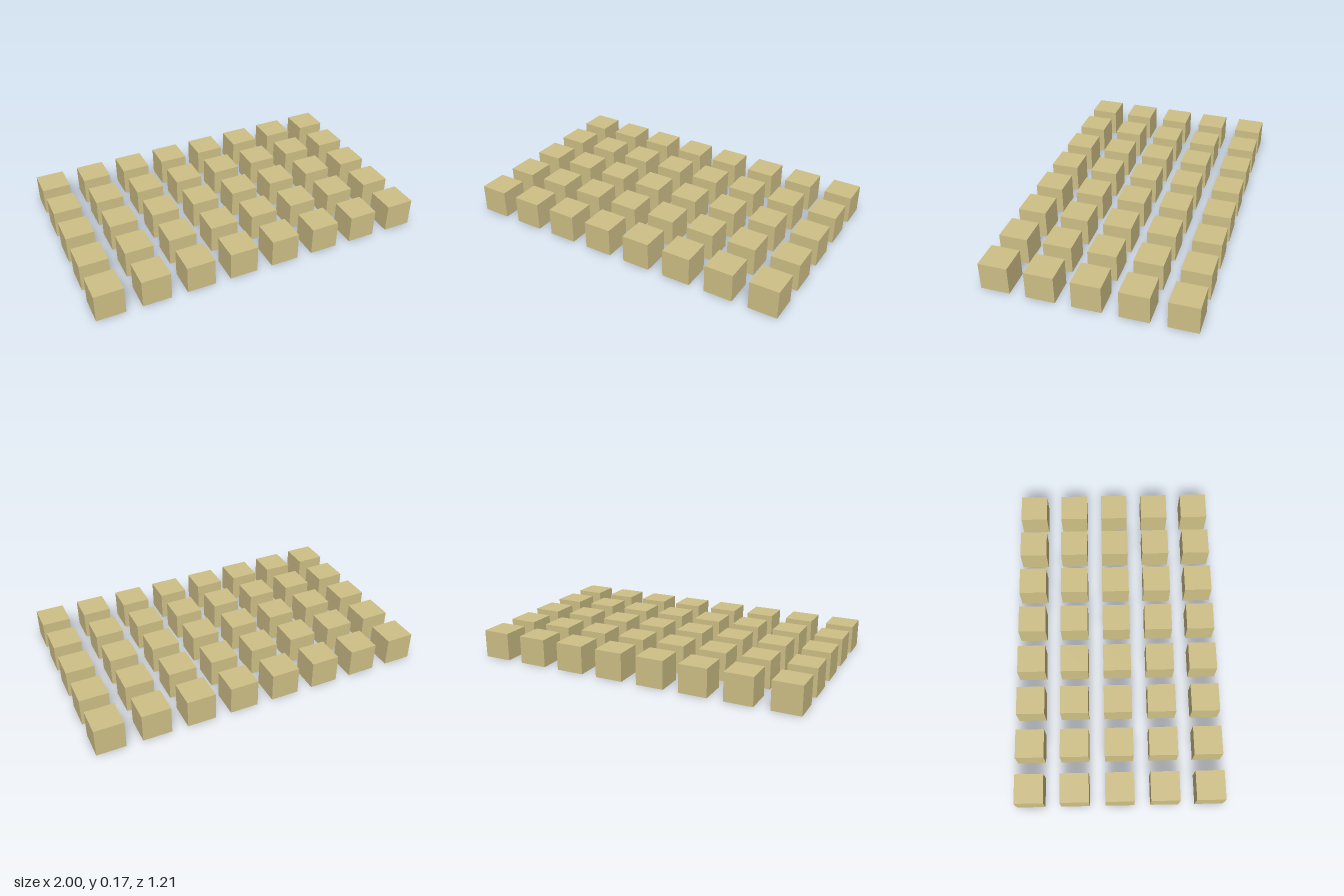
import * as THREE from 'three';

const COLUMNS = 8;
const ROWS = 5;
const SIZE = 0.168;
const PITCH = (2 - SIZE) / (COLUMNS - 1);

export function createModel() {
  const model = new THREE.Group();
  model.name = 'cubeGrid';

  const geometry = new THREE.BoxGeometry(SIZE, SIZE, SIZE);
  const material = new THREE.MeshStandardMaterial({ color: 0xcfc087 });

  // Evenly spaced rows of identical cubes, standing on the ground
  for (let row = 0; row < ROWS; row++) {
    const rowGroup = new THREE.Group();
    rowGroup.name = `row${row + 1}`;
    rowGroup.position.z = (row - (ROWS - 1) / 2) * PITCH;
    for (let column = 0; column < COLUMNS; column++) {
      const cube = new THREE.Mesh(geometry, material);
      cube.name = `cube${column + 1}`;
      cube.position.set((column - (COLUMNS - 1) / 2) * PITCH, SIZE / 2, 0);
      rowGroup.add(cube);
    }
    model.add(rowGroup);
  }
  return model;
}
